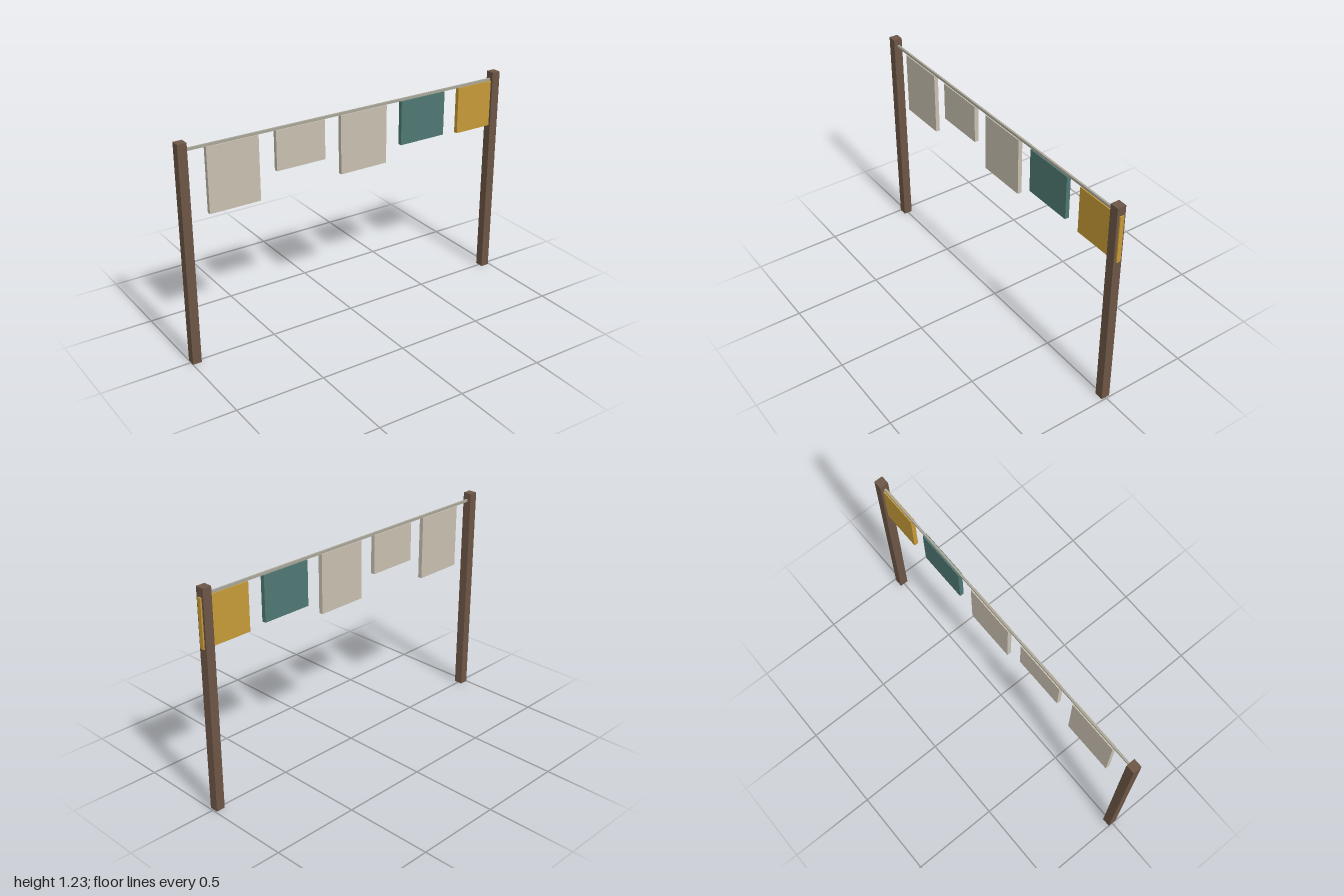
import * as THREE from 'three';

const mat = (name, color) => {
  const m = new THREE.MeshStandardMaterial({ color });
  m.name = name;
  return m;
};

export function createModel() {
  const wood = mat('brown wood', 0x6d5646);
  const rope = mat('grey line', 0xa9a698);
  const linen = mat('pale linen', 0xc8c0b0);
  const teal = mat('teal cloth', 0x4f7873);
  const ochre = mat('ochre cloth', 0xc69a38);

  const model = new THREE.Group();
  model.name = 'clothesline';

  const addBox = (name, material, w, h, d, x, y) => {
    const mesh = new THREE.Mesh(new THREE.BoxGeometry(w, h, d), material);
    mesh.name = name;
    mesh.position.set(x, y, 0);
    model.add(mesh);
  };

  // Posts
  addBox('rightPost', wood, 0.05, 1.23, 0.05, -0.975, 0.615);
  addBox('leftPost', wood, 0.05, 1.23, 0.05, 0.967, 0.615);

  // Line strung between the posts
  addBox('line', rope, 1.942, 0.014, 0.011, -0.004, 1.187);

  // Hanging cloths: [material, bottom edge]; the last one reaches past the left post
  const top = 1.18;
  [[linen, 0.822], [linen, 0.96], [linen, 0.849], [teal, 0.928], [ochre, 0.914]]
    .forEach(([material, bottom], i) => {
      addBox(`cloth${i + 1}`, material, 0.29, top - bottom, 0.024,
        -0.7 + i * 0.3888, (top + bottom) / 2);
    });

  return model;
}
